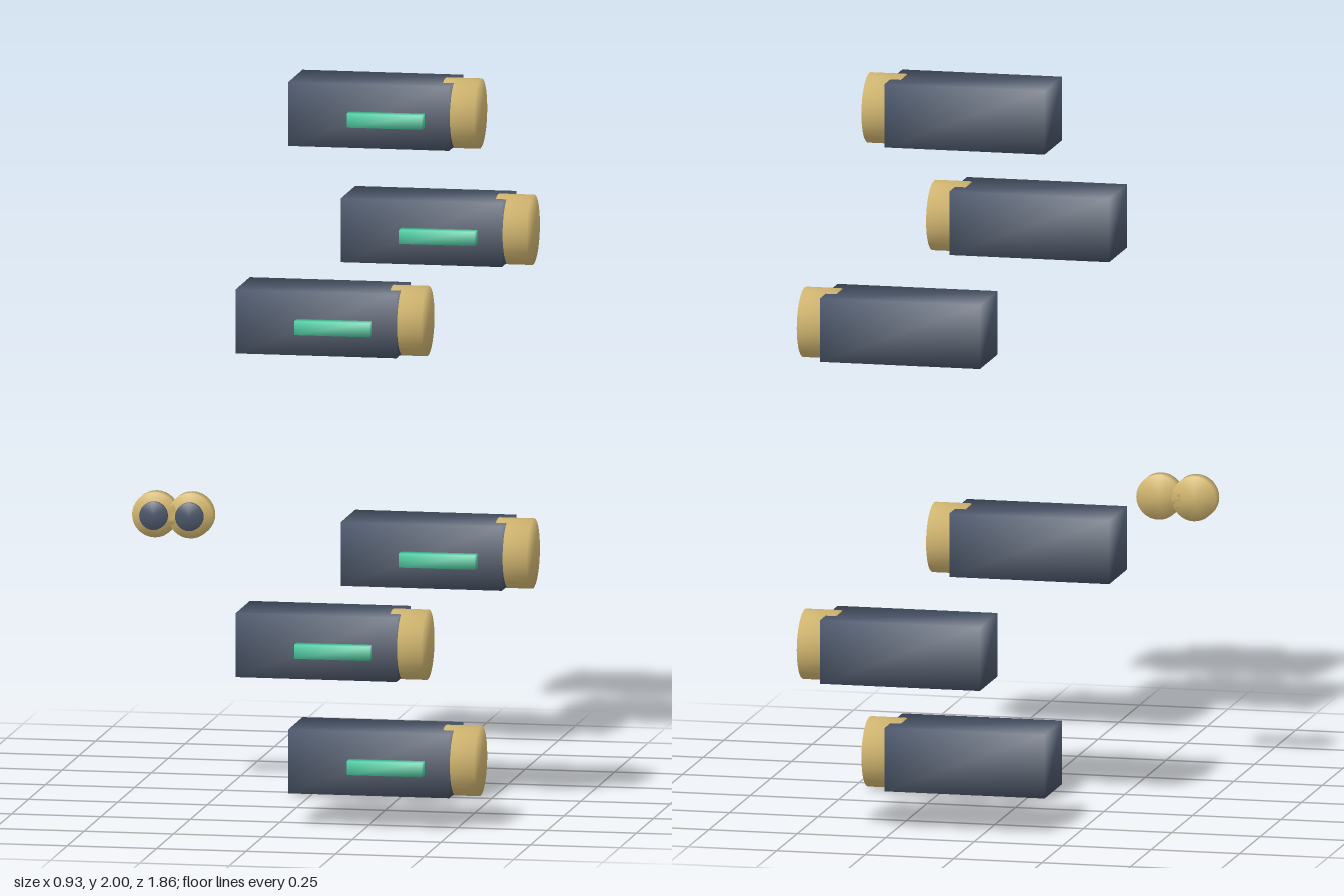
import * as THREE from 'three';
import { mergeVertices } from 'three/addons/utils/BufferGeometryUtils.js';

const slate = new THREE.MeshStandardMaterial({ name: 'slate', color: 0x4a5568 });
const brass = new THREE.MeshStandardMaterial({ name: 'brass', color: 0xd4b872 });
const mint = new THREE.MeshStandardMaterial({ name: 'mint', color: 0x4cc9a0 });

// Share corner vertices so the shading runs smoothly over the edges
function soften(geometry) {
  geometry.deleteAttribute('normal');
  geometry.deleteAttribute('uv');
  const merged = mergeVertices(geometry);
  merged.computeVertexNormals();
  return merged;
}

const box = (w, h, d) => soften(new THREE.BoxGeometry(w, h, d));
const disc = (r, h) => soften(new THREE.CylinderGeometry(r, r, h, 32));

function add(parent, name, geometry, material, x, y, z) {
  const mesh = new THREE.Mesh(geometry, material);
  mesh.name = name;
  mesh.position.set(x, y, z);
  parent.add(mesh);
}

export function createModel() {
  const model = new THREE.Group();
  model.name = 'chamberRing';

  const bodyGeo = box(0.452, 0.178, 0.213);
  const capGeo = disc(0.097, 0.098).rotateZ(-Math.PI / 2);
  const stripGeo = box(0.212, 0.039, 0.039);

  // Six chambers spaced evenly around the x axis
  for (let i = 0; i < 6; i++) {
    const a = (i * Math.PI) / 3;
    const chamber = new THREE.Group();
    chamber.name = 'chamber' + (i + 1);
    chamber.position.set(0, 1 + 0.903 * Math.cos(a), -0.0405 + 0.903 * Math.sin(a));
    add(chamber, 'body', bodyGeo, slate, 0.168, 0, 0);
    add(chamber, 'endCap', capGeo, brass, 0.413, 0, 0);
    add(chamber, 'lightStrip', stripGeo, mint, 0.227, 0, 0.167);
    model.add(chamber);
  }

  // Pair of round gauges facing the front
  const rimGeo = disc(0.0625, 0.042).rotateX(Math.PI / 2);
  const faceGeo = disc(0.039, 0.014).rotateX(Math.PI / 2);
  for (const x of [-0.402, -0.302]) {
    add(model, 'gaugeRim', rimGeo, brass, x, 0.8, 0.205);
    add(model, 'gaugeFace', faceGeo, slate, x, 0.8, 0.238);
  }
  return model;
}
